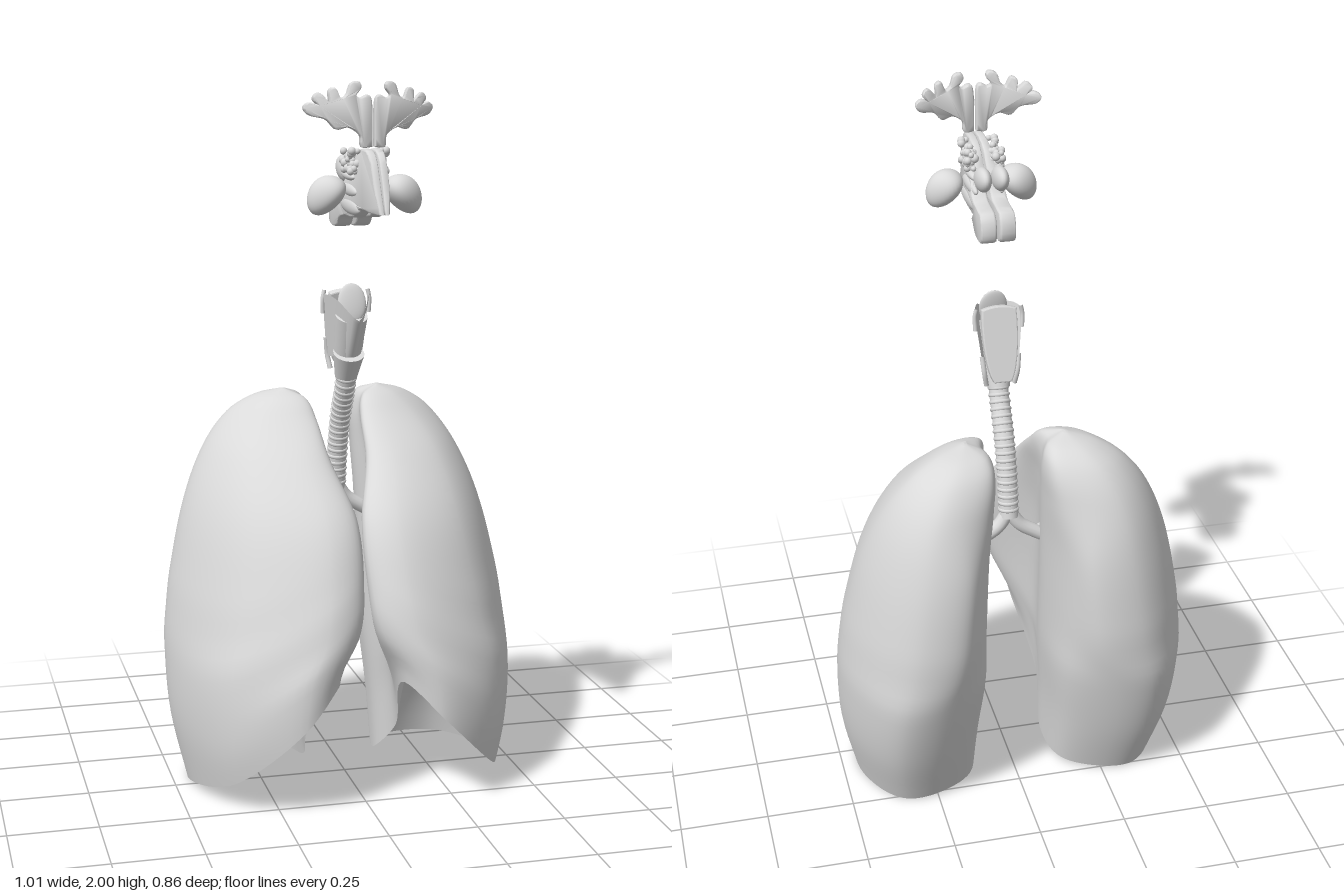
import * as THREE from 'three';
import { toCreasedNormals } from 'three/addons/utils/BufferGeometryUtils.js';

const V = (x, y, z) => new THREE.Vector3(x, y, z);
const tissue = new THREE.MeshStandardMaterial({ color: 0xdadada });
tissue.name = 'pale grey tissue';
const sheet = new THREE.MeshStandardMaterial({ color: 0xdadada, side: THREE.DoubleSide });
sheet.name = 'pale grey sheet';

function add(parent, name, geo, mat = tissue) {
  const m = new THREE.Mesh(geo, mat);
  m.name = name;
  parent.add(m);
  return m;
}

// Mirror a geometry across x = 0 and keep its faces outward.
function mirrored(geo) {
  const g = geo.clone().scale(-1, 1, 1);
  const idx = g.index ? Array.from(g.index.array) : Array.from({ length: g.attributes.position.count }, (_, i) => i);
  g.setIndex(idx.reverse());
  return g;
}
function addPair(parent, name, geo) {
  add(parent, name + 'Left', geo);
  add(parent, name + 'Right', mirrored(geo));
}

// Skin rows of points; closed rows wrap around.
function loft(rows, closed = true) {
  const n = rows[0].length, pos = [], idx = [];
  rows.forEach(r => r.forEach(p => pos.push(p.x, p.y, p.z)));
  for (let i = 0; i < rows.length - 1; i++)
    for (let j = 0; j < (closed ? n : n - 1); j++) {
      const k = (j + 1) % n, a = i * n + j, b = i * n + k, c = b + n, d = a + n;
      idx.push(a, b, c, a, c, d);
    }
  const g = new THREE.BufferGeometry();
  g.setAttribute('position', new THREE.Float32BufferAttribute(pos, 3));
  g.setIndex(idx);
  g.computeVertexNormals();
  return g;
}

const tube = (pts, r) => new THREE.TubeGeometry(new THREE.CatmullRomCurve3(pts), 16, r, 12);
const ball = (x, y, z, rx, ry, rz, tilt = 0) =>
  new THREE.SphereGeometry(1, 24, 16).scale(rx, ry, rz).rotateX(tilt).translate(x, y, z);

// Lung extents by height: y, outer x, front inner x, rear inner x, front z, back z
const LUNG = [
  [0, .455, .12, .11, .32, -.27],
  [.2, .497, .11, .105, .37, -.355],
  [.4, .505, .085, .09, .377, -.415],
  [.5, .497, .03, .087, .357, -.425],
  [.6, .483, .01, .085, .328, -.428],
  [.8, .437, .008, .08, .232, -.41],
  [.95, .375, .055, .073, .085, -.37],
  [1.05, .30, .07, .07, -.045, -.32],
  [1.1, .222, .09, .088, -.11, -.26],
  [1.12, .15, .135, .135, -.165, -.19],
];
// Smooth (Hermite) lookup in the table
function extents(y) {
  const T = LUNG, last = T.length - 1;
  let i = 0;
  while (i < last - 1 && y > T[i + 1][0]) i++;
  const h = T[i + 1][0] - T[i][0], t = Math.min(1, Math.max(0, (y - T[i][0]) / h));
  const slope = (k, c) => {
    const a = Math.max(0, k - 1), b = Math.min(last, k + 1);
    return (T[b][c] - T[a][c]) / (T[b][0] - T[a][0]);
  };
  return [1, 2, 3, 4, 5].map(c => {
    const p = T[i][c], q = T[i + 1][c];
    return p * (2 * t ** 3 - 3 * t * t + 1) + q * (3 * t * t - 2 * t ** 3)
      + h * (slope(i, c) * (t ** 3 - 2 * t * t + t) + slope(i + 1, c) * (t ** 3 - t * t));
  });
}
// Height of the lower rim at each of the ten control columns
const RIM = [.37, .27, .09, .01, .005, .005, .01, .02, .04, .16];
function lungRing(t) {
  const pts = RIM.map((rim, j) => {
    const y = rim + (1.12 - rim) * t;
    const [xo, xf, xb, zf, zb] = extents(y), w = xo - xf, d = zf - zb;
    const [x, z] = [
      [xf, zf - .08 * d], [xf + .23 * w, zf], [xf + .7 * w, zf - .15 * d],
      [xo, zf - .6 * d], [xf + .89 * w, zb + .15 * d], [xf + .67 * w, zb + .015 * d], [xf + .4 * w, zb + .012 * d],
      [xb + .09 * w, zb + .12 * d], [xb, zb + .34 * d], [Math.max(xf, xb) + .05 * w, zf - .4 * d],
    ][j];
    return V(x, y, z);
  });
  return new THREE.CatmullRomCurve3(pts, true, 'centripetal').getPoints(80).slice(0, 80);
}

function buildLungs(root) {
  const rows = [];
  for (let i = 0; i <= 48; i++) rows.push(lungRing(Math.sin(i / 48 * Math.PI / 2)));
  rows.push(rows[48].map(() => V(.143, 1.121, -.178)));
  const body = loft(rows);
  // Hollow base that rises steeply over the diaphragm
  const c = V(.26, .1, -.04), base = [];
  for (let i = 0; i <= 14; i++) {
    const s = i / 14;
    base.push(rows[0].map(p => {
      const q = c.clone().lerp(p, s);
      q.y += .22 * (1 - s ** 3);
      return q;
    }));
  }
  const under = loft(base);
  add(root, 'lungLeft', body);
  add(root, 'lungBaseLeft', under);
  // The right lung is slightly shallower
  for (const [name, g] of [['lungRight', body], ['lungBaseRight', under]])
    add(root, name, mirrored(g).scale(1, 1, .975).translate(0, 0, .005));
}

function buildAirway(root) {
  const path = new THREE.CatmullRomCurve3([V(0, 1.22, .035), V(0, 1.16, .012), V(0, 1.05, -.05), V(0, .95, -.085), V(0, .83, -.108)]);
  add(root, 'trachea', new THREE.TubeGeometry(path, 40, .0275, 20));
  // Cartilage rings
  for (let i = 0; i < 19; i++) {
    const u = .06 + i * .049;
    const ring = add(root, 'tracheaRing', new THREE.TorusGeometry(.0245, .0062, 8, 24));
    ring.position.copy(path.getPointAt(u));
    ring.lookAt(ring.position.clone().add(path.getTangentAt(u)));
  }
  // Bronchi and their first branches
  addPair(root, 'mainBronchus', tube([V(0, .85, -.105), V(.03, .805, -.11), V(.075, .775, -.112), V(.15, .735, -.115)], .02));
  addPair(root, 'upperBranch', tube([V(.07, .775, -.112), V(.11, .785, -.1), V(.17, .82, -.09)], .013));
  addPair(root, 'lowerBranch', tube([V(.08, .77, -.112), V(.12, .72, -.09), V(.15, .64, -.08)], .013));
}

function buildLarynx(root) {
  // Shield cartilage: a folded sheet open at the back
  const rows = [];
  for (let i = 0; i <= 12; i++) {
    const v = i / 12, row = [];
    for (let j = 0; j <= 24; j++) {
      const s = j / 12 - 1, a = Math.abs(s);
      const front = V(0, 1.245 + .11 * v, .085 + .08 * v), back = V(0, 1.235 + .18 * v, -.015 + .035 * v);
      const p = front.lerp(back, a);
      p.x = Math.sign(s) * (.048 + .02 * v) * Math.pow(a, .65);
      p.y += .02 * v * Math.sin(a * Math.PI);
      row.push(p);
    }
    rows.push(row);
  }
  add(root, 'thyroidCartilage', loft(rows, false), sheet);
  addPair(root, 'upperHorn', tube([V(.066, 1.36, .015), V(.067, 1.40, .018), V(.062, 1.425, .017)], .006));
  addPair(root, 'lowerHorn', tube([V(.052, 1.29, -.005), V(.047, 1.24, -.012), V(.04, 1.2, -.005)], .007));
  // Ring cartilage below the shield
  add(root, 'cricoid', new THREE.CylinderGeometry(.044, .031, .08, 28).rotateX(.45).translate(0, 1.215, .033));
  add(root, 'innerLarynx', new THREE.CylinderGeometry(.045, .038, .13, 24).rotateX(.4).translate(0, 1.30, .055));
  // Rear plate
  const s = new THREE.Shape();
  s.moveTo(-.045, .1);
  s.quadraticCurveTo(0, .115, .045, .1);
  s.bezierCurveTo(.05, .02, .04, -.07, .022, -.1);
  s.lineTo(-.022, -.1);
  s.bezierCurveTo(-.04, -.07, -.05, .02, -.045, .1);
  const plate = new THREE.ExtrudeGeometry(s, { depth: .016, bevelSize: .004, bevelThickness: .004, bevelSegments: 2, curveSegments: 12 });
  add(root, 'rearPlate', plate.rotateX(.25).translate(0, 1.32, -.012));
  // Leaf-shaped flap
  add(root, 'epiglottis', ball(0, 1.395, .085, .04, .055, .01, -.2));
}

function buildSinuses(root) {
  // Branching frontal sinuses, bent back at the sides
  const out = [[.006, 1.835], [.03, 1.835], [.034, 1.865], [.065, 1.885], [.095, 1.88], [.12, 1.905], [.158, 1.915], [.172, 1.932],
    [.16, 1.943], [.135, 1.937], [.15, 1.955], [.137, 1.968], [.112, 1.945], [.112, 1.975], [.098, 1.98], [.085, 1.955],
    [.068, 1.965], [.058, 1.992], [.04, 1.997], [.035, 1.984], [.048, 1.965], [.035, 1.955], [.014, 1.963], [.006, 1.935]];
  const shape = new THREE.Shape();
  shape.moveTo(...out[0]);
  shape.splineThru([...out.slice(1), out[0]].map(p => new THREE.Vector2(...p)));
  const antler = new THREE.ExtrudeGeometry(shape, { depth: .012, bevelSize: .003, bevelThickness: .006, bevelSegments: 2, curveSegments: 4 });
  const ap = antler.attributes.position;
  for (let i = 0; i < ap.count; i++) {
    const x = ap.getX(i);
    ap.setZ(i, ap.getZ(i) + .298 - 1.7 * x * x);
  }
  addPair(root, 'frontalSinus', toCreasedNormals(antler, .8));

  // Teardrop maxillary sinuses: deep beside the nose, taller at the outside
  const max = new THREE.SphereGeometry(1, 28, 20), mp = max.attributes.position;
  for (let i = 0; i < mp.count; i++) {
    const x = mp.getX(i);
    mp.setXYZ(i, .105 + .052 * x, 1.705 + .058 * (.85 + .15 * x) * mp.getY(i) - .016 * x, .222 + .056 * (.9 - .25 * x) * mp.getZ(i));
  }
  max.computeVertexNormals();
  addPair(root, 'maxillarySinus', max);
  addPair(root, 'sphenoidSinus', ball(.024, 1.765, .1, .022, .034, .058, .25));

  // Ethmoid air cells
  let seed = 7;
  const rnd = () => (seed = (seed * 16807) % 2147483647) / 2147483647;
  for (let i = 0; i < 46; i++) {
    const r = .007 + .005 * rnd();
    addPair(root, 'ethmoidCell', new THREE.SphereGeometry(r, 10, 8).translate(.024 + .026 * rnd(), 1.765 + .055 * rnd(), .155 + .115 * rnd()));
  }
}

function buildNose(root) {
  // Nasal passage halves: side outline as (-z, y)
  const s = new THREE.Shape();
  s.moveTo(-.425, 1.668);
  s.splineThru([[-.40, 1.72], [-.355, 1.80], [-.30, 1.822], [-.22, 1.81], [-.17, 1.76], [-.12, 1.70], [-.03, 1.685], [-.02, 1.62],
    [-.09, 1.613], [-.14, 1.645], [-.24, 1.648], [-.32, 1.675], [-.38, 1.67], [-.425, 1.668]].map(p => new THREE.Vector2(...p)));
  const g = new THREE.ExtrudeGeometry(s, { depth: .024, bevelSize: .004, bevelThickness: .006, bevelSegments: 3, curveSegments: 5 });
  g.rotateY(Math.PI / 2).translate(.01, 0, 0);
  const p = g.attributes.position;
  // Narrow toward the tip and the bridge, widen at the throat
  for (let i = 0; i < p.count; i++) {
    const z = p.getZ(i), y = p.getY(i);
    const k = z > .33 ? 1 - (z - .33) * 7 : z < .14 ? 1.2 : 1;
    p.setX(i, p.getX(i) * k * (1 - Math.max(0, y - 1.72) * 4));
  }
  addPair(root, 'nasalPassage', toCreasedNormals(g, .8));
  // Scroll-like turbinates along the side walls
  [[1.672, .021], [1.715, .017], [1.752, .012]].forEach(([y, r], i) =>
    addPair(root, 'turbinate', ball(.036, y, .21 - .01 * i, .013, r, .1 - .02 * i, .05)));
}

export function createModel() {
  const model = new THREE.Group();
  model.name = 'respiratorySystem';
  for (const [name, build] of [['lungs', buildLungs], ['airway', buildAirway], ['larynx', buildLarynx], ['sinuses', buildSinuses], ['nose', buildNose]]) {
    const g = new THREE.Group();
    g.name = name;
    build(g);
    model.add(g);
  }
  return model;
}
